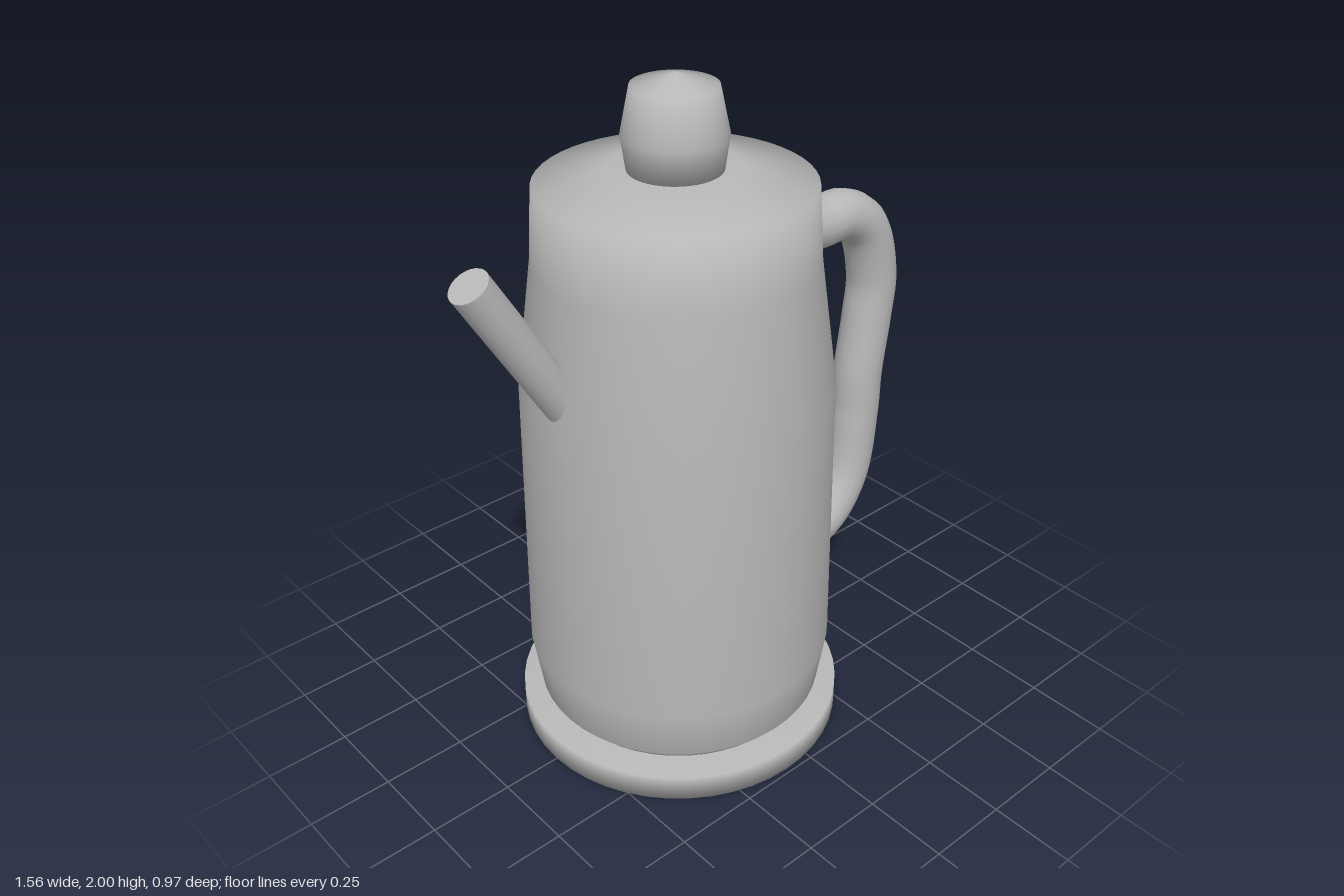
import * as THREE from 'three';

const AXIS_X = -0.085; // the pot sits off centre to make room for the handle

export function createModel() {
  const model = new THREE.Group();
  model.name = 'coffeePot';
  const metal = new THREE.MeshStandardMaterial({ color: 0xb8b8b8 });
  metal.name = 'grey metal';

  const add = (name, geometry, parent = model) => {
    const mesh = new THREE.Mesh(geometry, metal);
    mesh.name = name;
    parent.add(mesh);
    return mesh;
  };
  const turned = (name, profile) => {
    const points = profile.map(([r, y]) => new THREE.Vector2(r, y));
    add(name, new THREE.LatheGeometry(points, 48)).position.x = AXIS_X;
  };

  // Turned parts, listed from the bottom up as [radius, height]
  turned('base', [[0, 0], [0.486, 0], [0.486, 0.08], [0, 0.08]]);
  turned('body', [
    [0, 0.08], [0.395, 0.08], [0.43, 0.12], [0.454, 0.28], [0.441, 1.13],
    [0.39, 1.5], [0.376, 1.71], [0.18, 1.745], [0, 1.745],
  ]);
  turned('lidKnob', [[0, 1.74], [0.128, 1.74], [0.142, 1.84], [0.116, 1.967], [0, 2]]);

  // Straight slanted spout, its lower end buried in the body
  const tip = new THREE.Vector3(-0.733, 1.615, 0);
  const root = new THREE.Vector3(-0.46, 1.166, 0);
  const slope = tip.clone().sub(root);
  const spout = add('spout', new THREE.CylinderGeometry(0.056, 0.056, slope.length(), 24));
  spout.position.copy(tip).add(root).multiplyScalar(0.5);
  spout.quaternion.setFromUnitVectors(new THREE.Vector3(0, 1, 0), slope.normalize());

  // Curved handle with closed ends
  const handle = new THREE.Group();
  handle.name = 'handle';
  model.add(handle);
  const radius = 0.077;
  const path = new THREE.CatmullRomCurve3([
    [0.35, 1.45], [0.45, 1.437], [0.55, 1.437], [0.645, 1.375], [0.7, 1.2],
    [0.69, 1.06], [0.665, 0.87], [0.66, 0.73], [0.625, 0.5], [0.53, 0.38], [0.382, 0.347],
  ].map(([x, y]) => new THREE.Vector3(x, y, 0)));
  add('handleGrip', new THREE.TubeGeometry(path, 64, radius, 16), handle);
  for (const [t, sign] of [[0, -1], [1, 1]]) {
    const cap = add('handleEnd', new THREE.CircleGeometry(radius, 16), handle);
    cap.position.copy(path.getPointAt(t));
    cap.quaternion.setFromUnitVectors(
      new THREE.Vector3(0, 0, 1), path.getTangentAt(t).multiplyScalar(sign));
  }

  return model;
}
